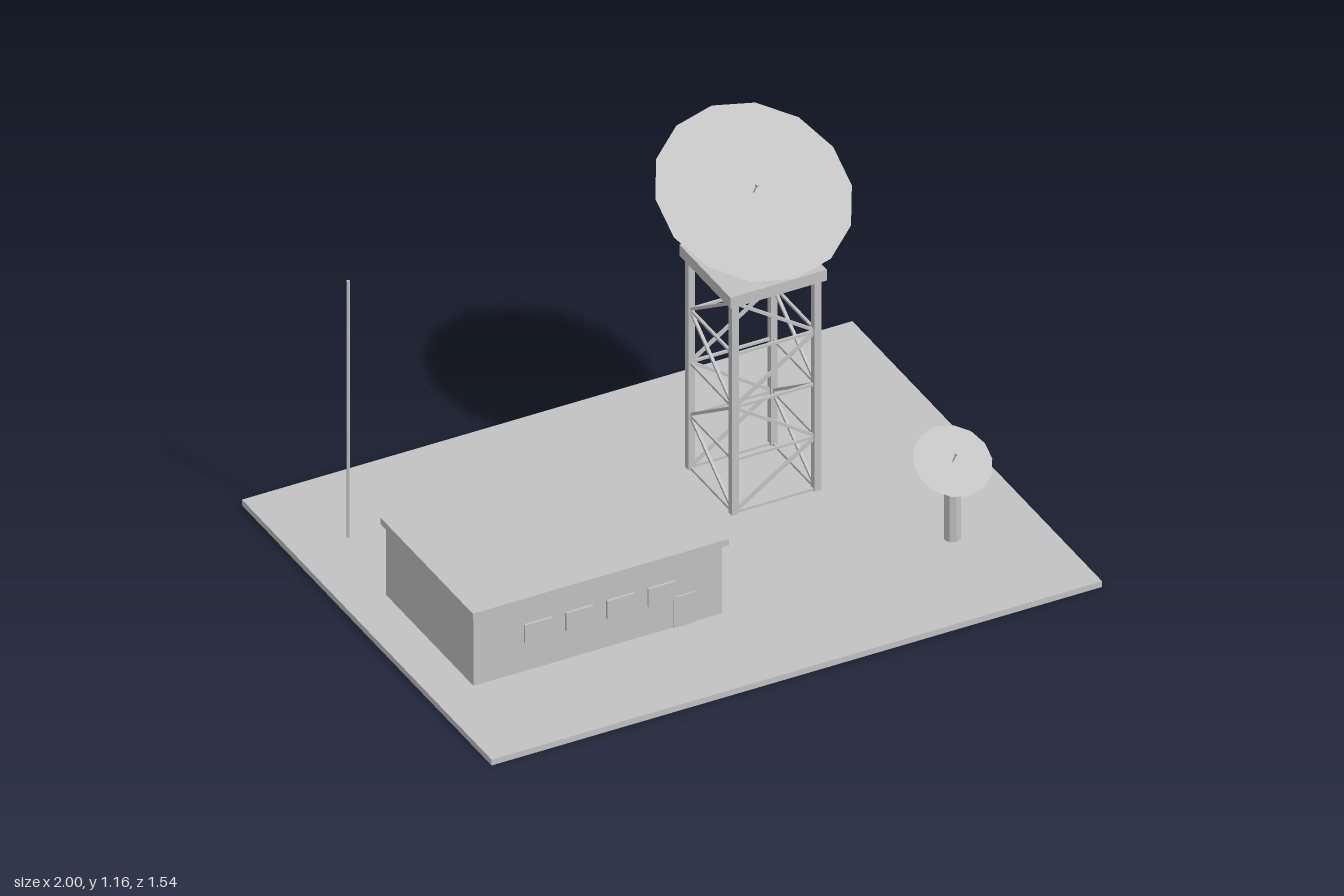
import * as THREE from 'three';

const grey = new THREE.MeshStandardMaterial({ color: 0xc2c2c2, flatShading: true });
grey.name = 'pale grey';

function add(parent, name, geometry, x = 0, y = 0, z = 0) {
  const mesh = new THREE.Mesh(geometry, grey);
  mesh.name = name;
  mesh.position.set(x, y, z);
  parent.add(mesh);
  return mesh;
}

// Box given by its limits on each axis
function box(parent, name, [x0, x1], [y0, y1], [z0, z1]) {
  return add(parent, name, new THREE.BoxGeometry(x1 - x0, y1 - y0, z1 - z0),
    (x0 + x1) / 2, (y0 + y1) / 2, (z0 + z1) / 2);
}

// Thin square bar between two points
function bar(parent, name, a, b, thickness) {
  const mesh = add(parent, name, new THREE.BoxGeometry(thickness, thickness, a.distanceTo(b)));
  mesh.position.copy(a).add(b).multiplyScalar(0.5);
  mesh.lookAt(b);
  return mesh;
}

// Shallow dish tilted forward, with a feed rod at its centre
function dish(parent, name, radius, depth, x, y, z) {
  const group = new THREE.Group();
  group.name = name;
  add(group, 'dishBowl', new THREE.CylinderGeometry(radius, 0.002, depth, 14), 0, -depth / 2, 0);
  add(group, 'feedRod', new THREE.CylinderGeometry(0.002, 0.002, 0.045, 6), 0, 0.0225, 0);
  add(group, 'feedTip', new THREE.CylinderGeometry(0.005, 0.005, 0.008, 6), 0, 0.043, 0);
  group.position.set(x, y, z);
  group.rotation.x = Math.PI / 6;
  parent.add(group);
}

function createBuilding() {
  const g = new THREE.Group();
  g.name = 'building';
  box(g, 'walls', [-0.865, -0.05], [0.02, 0.262], [-0.135, 0.405]);
  box(g, 'roof', [-0.875, -0.035], [0.26, 0.282], [-0.15, 0.42]);
  for (const x of [-0.655, -0.52, -0.385, -0.25])
    box(g, 'window', [x - 0.045, x + 0.045], [0.12, 0.183], [0.404, 0.413]);
  box(g, 'door', [-0.21, -0.14], [0.02, 0.125], [0.404, 0.41]);
  return g;
}

function createTower() {
  const g = new THREE.Group();
  g.name = 'latticeTower';
  const h = 0.135;
  const levels = [0.024, 0.205, 0.387, 0.57, 0.75];
  for (const x of [-h, h])
    for (const z of [-h, h])
      box(g, 'towerLeg', [x - 0.011, x + 0.011], [0.02, 0.755], [z - 0.011, z + 0.011]);

  // Each bay has a horizontal and one diagonal per face, zigzagging upward
  for (let i = 0; i < 4; i++) {
    const s = i % 2 ? h : -h;
    const [lo, hi] = [levels[i], levels[i + 1]];
    for (const d of [-h, h]) {
      bar(g, 'girt', new THREE.Vector3(-h, lo, d), new THREE.Vector3(h, lo, d), 0.008);
      bar(g, 'girt', new THREE.Vector3(d, lo, -h), new THREE.Vector3(d, lo, h), 0.008);
      bar(g, 'brace', new THREE.Vector3(s, lo, d), new THREE.Vector3(-s, hi, d), 0.009);
      bar(g, 'brace', new THREE.Vector3(d, lo, -s), new THREE.Vector3(d, hi, s), 0.009);
    }
  }
  box(g, 'platform', [-0.158, 0.158], [0.75, 0.788], [-0.158, 0.158]);
  g.position.set(0.36, 0, -0.178);
  return g;
}

export function createModel() {
  const model = new THREE.Group();
  model.name = 'radioStation';
  box(model, 'basePlate', [-1, 1], [0, 0.02], [-0.772, 0.772]);
  model.add(createBuilding(), createTower());

  // Antennas
  dish(model, 'largeDish', 0.299, 0.025, 0.36, 1.015, -0.175);
  dish(model, 'smallDish', 0.12, 0.02, 0.724, 0.287, 0.37);
  add(model, 'smallDishPost', new THREE.CylinderGeometry(0.026, 0.026, 0.165, 8), 0.724, 0.1025, 0.367);
  add(model, 'mast', new THREE.CylinderGeometry(0.005, 0.005, 0.89, 6), -0.82, 0.465, -0.455);
  return model;
}
